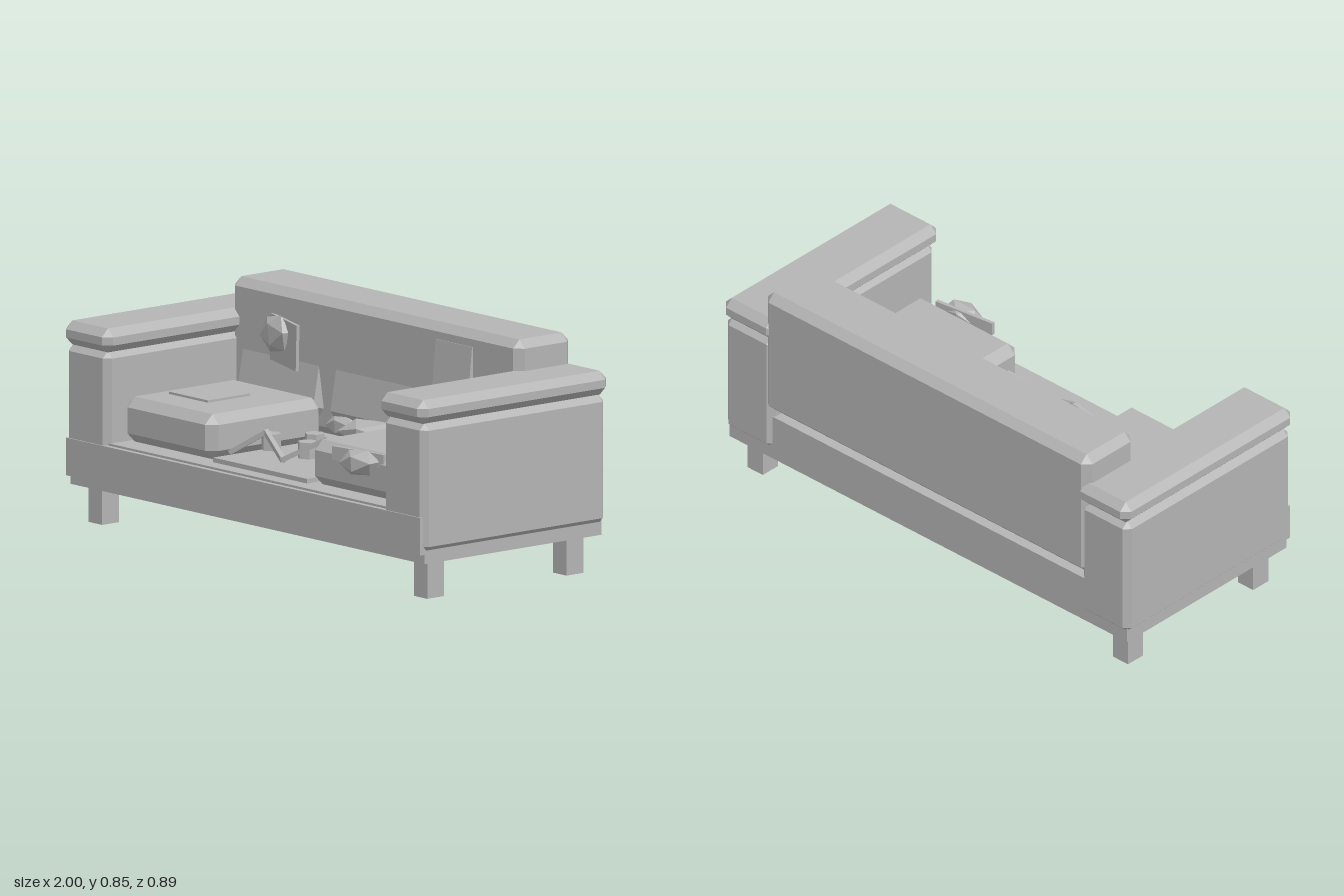
import * as THREE from 'three';
import { ConvexGeometry } from 'three/addons/geometries/ConvexGeometry.js';

export function createModel() {
  const sofa = new THREE.Group();
  sofa.name = 'tornSofa';
  const grey = new THREE.MeshStandardMaterial({ color: 0xb4b4b4, flatShading: true });
  grey.name = 'plainGrey';

  function add(name, geometry, position, rotation = [0, 0, 0]) {
    const mesh = new THREE.Mesh(geometry, grey);
    mesh.name = name;
    mesh.position.set(...position);
    mesh.rotation.set(...rotation);
    sofa.add(mesh);
    return mesh;
  }
  const box = (name, size, position, rotation) =>
    add(name, new THREE.BoxGeometry(...size), position, rotation);

  // Box with every edge cut at 45 degrees
  function chamferBox(name, [w, h, d], c, position, rotation) {
    const points = [];
    for (const x of [-1, 1]) for (const y of [-1, 1]) for (const z of [-1, 1]) {
      const X = x * w / 2, Y = y * h / 2, Z = z * d / 2;
      points.push(
        new THREE.Vector3(X, Y - y * c, Z - z * c),
        new THREE.Vector3(X - x * c, Y, Z - z * c),
        new THREE.Vector3(X - x * c, Y - y * c, Z));
    }
    return add(name, new ConvexGeometry(points), position, rotation);
  }

  // Faceted lump of stuffing
  function stuffing(name, size, position, rotation) {
    const geometry = new THREE.IcosahedronGeometry(1, 0);
    geometry.scale(...size);
    add(name, geometry, position, rotation);
  }

  // Frame and front rail
  box('base', [1.96, 0.18, 0.84], [0, 0.23, 0]);
  box('frontRail', [1.96, 0.138, 0.04], [0, 0.243, 0.42]);

  // Arms, arm caps and legs
  for (const s of [-1, 1]) {
    chamferBox('arm', [0.235, 0.475, 0.87], 0.024, [s * 0.8775, 0.4175, 0]);
    chamferBox('armCap', [0.255, 0.088, 0.895], 0.029, [s * 0.8725, 0.697, 0]);
    for (const z of [-0.33, 0.33]) box('leg', [0.075, 0.14, 0.08], [s * 0.9, 0.07, z]);
  }

  // Backrest, raised slightly above the base
  chamferBox('backrest', [1.6, 0.505, 0.26], 0.03, [0, 0.6, -0.31]);

  // Seat cushions, with the middle one missing
  for (const s of [-1, 1])
    chamferBox('seatCushion', [0.5, 0.165, 0.54], 0.035, [s * 0.52, 0.4025, 0.09]);
  box('seatDeck', [0.52, 0.02, 0.54], [0, 0.327, 0.09]);

  // Back cushions leaning into the backrest
  for (const x of [-0.515, 0, 0.515])
    chamferBox('backCushion', [0.49, 0.36, 0.13], 0.035, [x, 0.58, -0.243], [-0.18, 0, 0]);

  // Exposed springs
  for (const [x, z] of [[-0.1, 0.015], [0.1, 0.015], [-0.2, 0.135], [0, 0.135], [0.2, 0.135]])
    add('spring', new THREE.CylinderGeometry(0.037, 0.037, 0.06, 6), [x, 0.377, z]);

  // Zigzag wire sprung loose
  const wire = [[-0.23, 0.355, 0.3], [-0.1, 0.44, 0.245], [0.05, 0.368, 0.295], [0.2, 0.455, 0.215]]
    .map((p) => new THREE.Vector3(...p));
  for (let i = 0; i < wire.length - 1; i++) {
    const length = wire[i].distanceTo(wire[i + 1]);
    const mid = wire[i].clone().lerp(wire[i + 1], 0.5);
    const bar = box('looseWire', [0.018, 0.018, length + 0.01], mid.toArray());
    bar.lookAt(wire[i + 1]);
  }

  // Fabric patches
  box('backPatchRight', [0.21, 0.17, 0.012], [-0.465, 0.663, -0.155], [0, -0.25, -0.04]);
  box('backPatchLeft', [0.2, 0.195, 0.015], [0.447, 0.697, -0.174], [-0.1, 0, 0]);
  box('seatPatchRight', [0.215, 0.015, 0.2], [-0.583, 0.486, 0.1]);
  box('seatPatchLeft', [0.14, 0.01, 0.138], [0.596, 0.483, -0.053]);
  box('cushionPatch', [0.25, 0.05, 0.014], [0.555, 0.463, 0.367], [0, 0.13, 0]);

  // Stuffing spilling from the tears
  stuffing('backStuffing', [0.1, 0.075, 0.035], [-0.51, 0.688, -0.15], [0, -0.2, 0.2]);
  stuffing('cushionStuffing', [0.09, 0.053, 0.053], [0.585, 0.45, 0.39], [0, 0.1, 0.1]);
  stuffing('middleStuffing', [0.14, 0.05, 0.1], [0.08, 0.42, -0.1], [0, 0.15, 0]);
  stuffing('sideStuffing', [0.095, 0.045, 0.045], [-0.165, 0.4, -0.175], [0, -0.1, 0.1]);

  return sofa;
}
